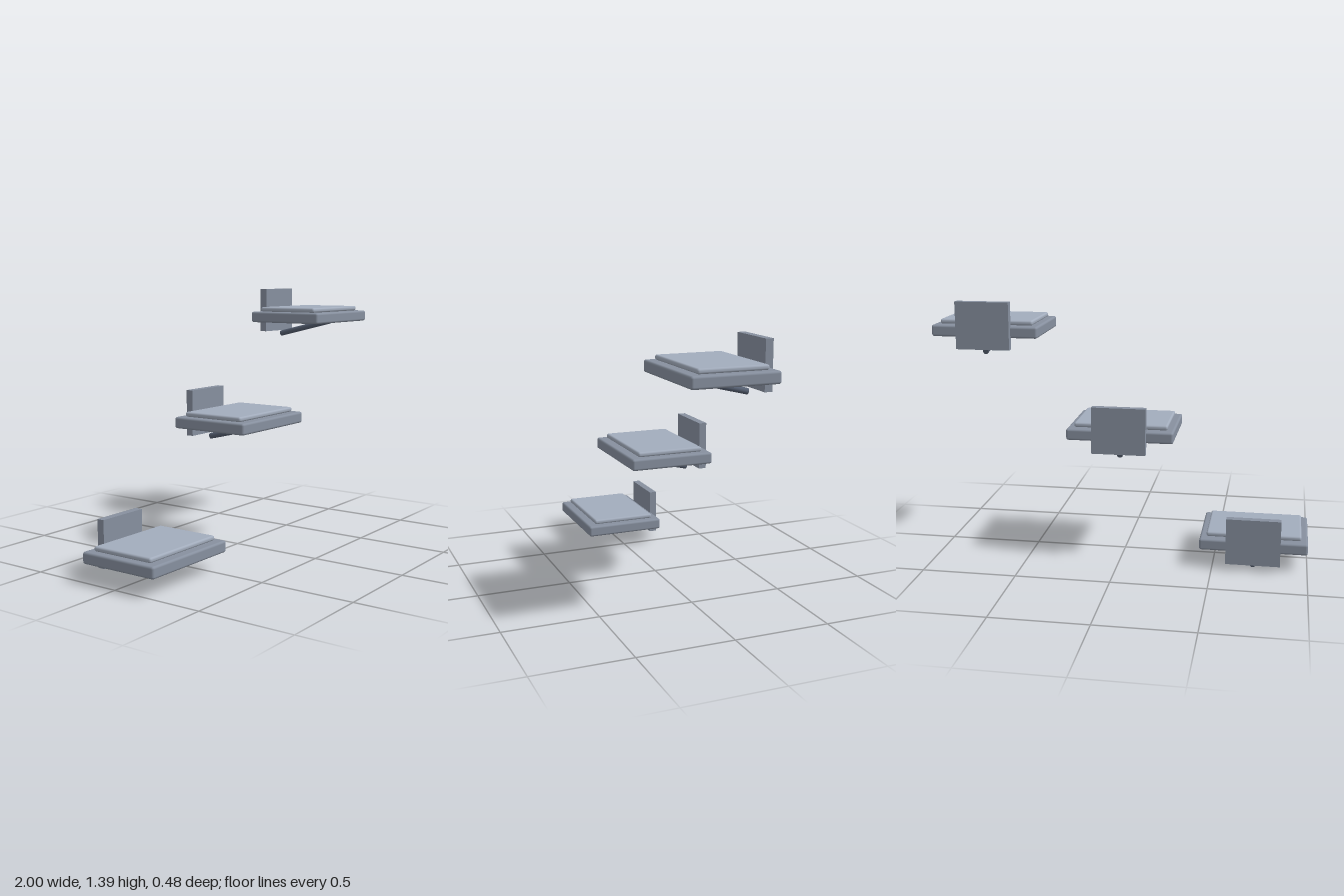
import * as THREE from 'three';
import { RoundedBoxGeometry } from 'three/addons/geometries/RoundedBoxGeometry.js';

const bodyMaterial = new THREE.MeshStandardMaterial({ color: 0x87909f });
const padMaterial = new THREE.MeshStandardMaterial({ color: 0xa2acbc });
const braceMaterial = new THREE.MeshStandardMaterial({ color: 0x566072 });

function addPart(parent, name, geometry, material, x, y, z) {
  const mesh = new THREE.Mesh(geometry, material);
  mesh.name = name;
  mesh.position.set(x, y, z);
  parent.add(mesh);
  return mesh;
}

// One wall-mounted step: tread, pad, wall plate and sloping brace
function createStep() {
  const step = new THREE.Group();
  addPart(step, 'tread', new RoundedBoxGeometry(0.57, 0.061, 0.446, 3, 0.012), bodyMaterial, 0, 0.1225, 0.014);
  addPart(step, 'pad', new RoundedBoxGeometry(0.5, 0.026, 0.357, 3, 0.011), padMaterial, 0, 0.1665, 0.0135);
  addPart(step, 'wallPlate', new THREE.BoxGeometry(0.286, 0.249, 0.04), bodyMaterial, 0, 0.157, -0.218);

  // The front end of the brace is sunk into the tread
  const front = new THREE.Vector3(0, 0.099, 0.155);
  const back = new THREE.Vector3(0, 0.0156, -0.183);
  const axis = front.clone().sub(back);
  const centre = front.clone().add(back).multiplyScalar(0.5);
  const braceGeometry = new THREE.CylinderGeometry(0.016, 0.016, axis.length(), 12);
  const brace = addPart(step, 'brace', braceGeometry, braceMaterial, ...centre.toArray());
  brace.quaternion.setFromUnitVectors(new THREE.Vector3(0, 1, 0), axis.normalize());
  return step;
}

export function createModel() {
  const model = new THREE.Group();
  model.name = 'wallSteps';

  // Three steps rising towards +x
  [[-0.715, 0, 'lowerStep'], [0, 0.572, 'middleStep'], [0.715, 1.107, 'upperStep']].forEach(([x, y, name]) => {
    const step = createStep();
    step.name = name;
    step.position.set(x, y, 0);
    model.add(step);
  });
  return model;
}
